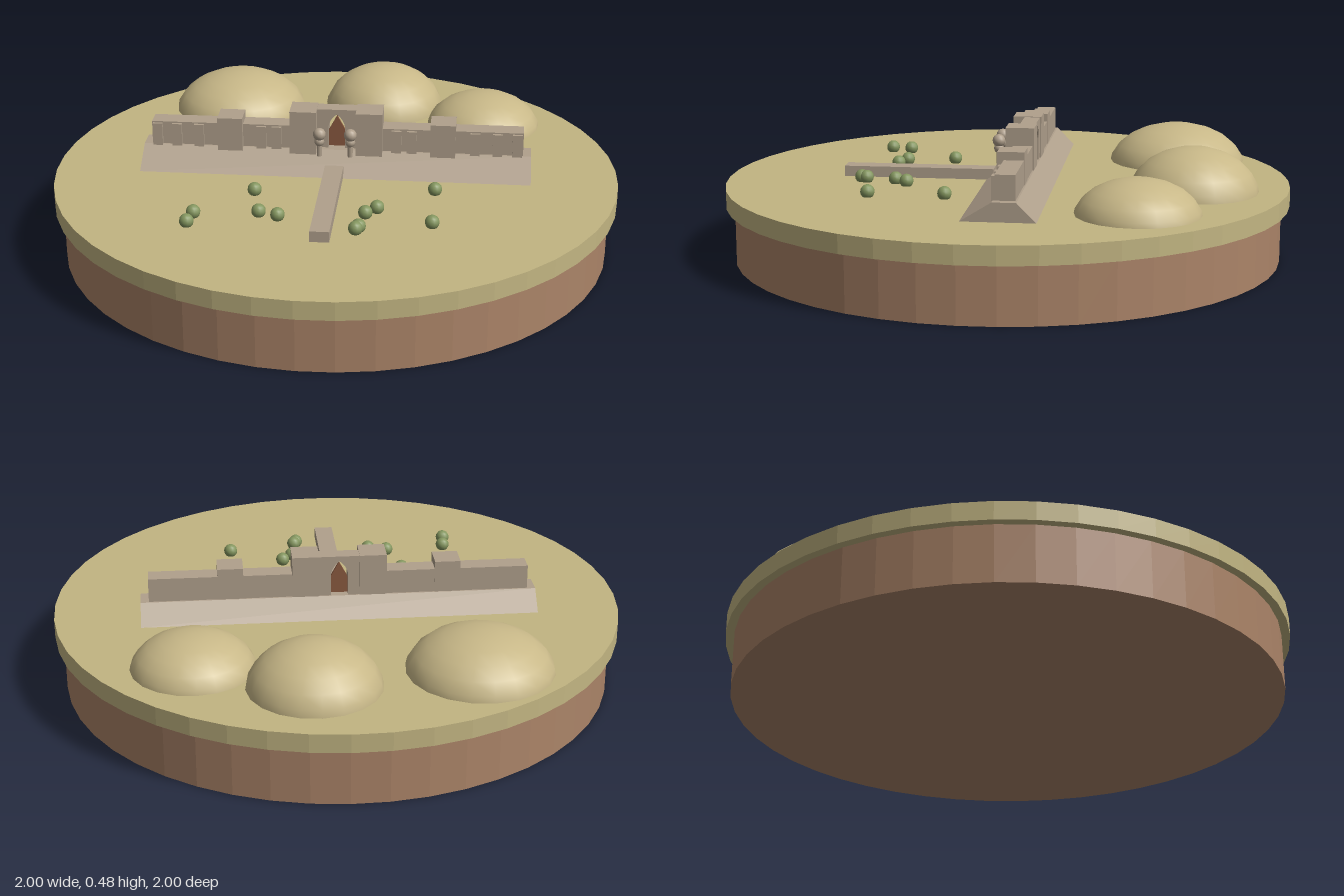
import * as THREE from 'three';

const mat = (name, color) => {
  const m = new THREE.MeshStandardMaterial({ color });
  m.name = name;
  return m;
};

export function createModel() {
  const soil = mat('soil', 0xab8468);
  const sand = mat('sand', 0xc2b582);
  const dune = mat('dune', 0xc8b888);
  const stone = mat('stone', 0xb0a08c);
  const leaf = mat('leaf', 0x84965f);
  const door = mat('door', 0x8a5a40);

  const model = new THREE.Group();
  model.name = 'desertFortress';
  const GROUND = 0.265;
  const DECK = 0.33;

  const add = (parent, name, geometry, material, x = 0, y = 0, z = 0) => {
    const mesh = new THREE.Mesh(geometry, material);
    mesh.name = name;
    mesh.position.set(x, y, z);
    parent.add(mesh);
    return mesh;
  };
  const box = (parent, name, w, y0, y1, d, x, z, material = stone) =>
    add(parent, name, new THREE.BoxGeometry(w, y1 - y0, d), material, x, (y0 + y1) / 2, z);

  // Round base: soil block under a wider sand slab
  const disc = (r, h) => new THREE.CylinderGeometry(r, r, h, 48).toNonIndexed();
  const flat = (g) => { g.computeVertexNormals(); return g; };
  add(model, 'soilBase', flat(disc(0.97, 0.2)), soil, 0, 0.1, 0);
  add(model, 'sandTop', flat(disc(1, 0.065)), sand, 0, 0.2325, 0);

  // Domed hills: x, z, radius, height above ground
  const hills = [[-0.195, -0.7, 0.25, 0.14], [0.35, -0.58, 0.226, 0.155], [0.655, -0.285, 0.212, 0.12]];
  for (const [x, z, r, h] of hills) {
    const hill = add(model, 'hill', new THREE.SphereGeometry(1, 20, 6, 0, Math.PI * 2, 0, Math.PI / 2),
      dune, x, GROUND - 0.02, z);
    hill.scale.set(r * 1.01, h + 0.02, r * 1.01);
  }

  // Round bushes
  const bushes = [[-0.325, 0.125], [-0.565, 0.25], [-0.6, 0.315], [-0.35, 0.3], [-0.295, 0.345],
    [0.045, 0.375], [-0.005, 0.405], [-0.055, 0.5], [-0.07, 0.515], [0.28, 0.285], [0.19, 0.535]];
  for (const [x, z] of bushes) {
    add(model, 'bush', new THREE.SphereGeometry(0.025, 12, 8), leaf, x, 0.283, z);
  }

  // Fortress, turned 20 degrees on the base
  const fort = new THREE.Group();
  fort.name = 'fortress';
  fort.position.set(0.016, 0, -0.05);
  fort.rotation.y = -Math.PI / 9;
  model.add(fort);

  // Sloping plinth, its section extruded along the wall
  const section = new THREE.Shape([[-0.125, GROUND], [0.125, GROUND], [0.02, DECK], [-0.06, DECK]]
    .map(([z, y]) => new THREE.Vector2(-z, y)));
  const plinth = new THREE.ExtrudeGeometry(section, { depth: 1.39, bevelEnabled: false });
  plinth.translate(0, 0, -0.695).rotateY(Math.PI / 2);
  add(fort, 'plinth', plinth, stone);

  // Causeway leading to the gate
  box(fort, 'causeway', 0.066, GROUND - 0.005, 0.303, 0.54, 0, 0.37);

  // Mirrored walls, buttresses, towers and gate guardians
  for (const s of [-1, 1]) {
    box(fort, 'wall', 0.51, DECK - 0.005, 0.415, 0.068, s * 0.411, -0.02);
    for (const x of [0.215, 0.27, 0.495, 0.575, 0.645]) {
      box(fort, 'buttress', 0.035, DECK - 0.005, 0.41, 0.012, s * x, 0.019);
    }
    box(fort, 'sideTower', 0.09, DECK - 0.03, 0.443, 0.092, s * 0.381, -0.01);
    box(fort, 'gateTower', 0.095, DECK - 0.03, 0.478, 0.1, s * 0.118, -0.01);

    const guardian = new THREE.Group();
    guardian.name = 'guardian';
    guardian.position.set(s * 0.055, 0, 0.077);
    fort.add(guardian);
    add(guardian, 'legs', new THREE.CylinderGeometry(0.009, 0.009, 0.07, 8), stone, 0, 0.365, 0);
    add(guardian, 'body', new THREE.SphereGeometry(0.018, 10, 8), stone, 0, 0.385, 0);
    add(guardian, 'head', new THREE.SphereGeometry(0.023, 12, 8), stone, 0, 0.412, 0);
  }

  // Gatehouse with a pointed archway
  const front = new THREE.Shape();
  front.moveTo(-0.075, DECK - 0.003).lineTo(0.075, DECK - 0.003);
  front.lineTo(0.075, 0.476).lineTo(-0.075, 0.476).closePath();
  const arch = new THREE.Path();
  arch.moveTo(-0.03, DECK).lineTo(-0.03, 0.41).quadraticCurveTo(-0.025, 0.44, 0, 0.458);
  arch.quadraticCurveTo(0.025, 0.44, 0.03, 0.41).lineTo(0.03, DECK).closePath();
  front.holes.push(arch);
  const gate = new THREE.ExtrudeGeometry(front, { depth: 0.055, bevelEnabled: false, curveSegments: 6 });
  add(fort, 'gatehouse', gate, stone, 0, 0, -0.055);

  // Pointed door inside the archway
  const leafShape = new THREE.Shape();
  leafShape.moveTo(-0.03, DECK).lineTo(0.03, DECK).lineTo(0.03, 0.39).lineTo(0, 0.445).lineTo(-0.03, 0.39).closePath();
  add(fort, 'door', new THREE.ExtrudeGeometry(leafShape, { depth: 0.009, bevelEnabled: false }), door, 0, 0, -0.03);

  return model;
}
